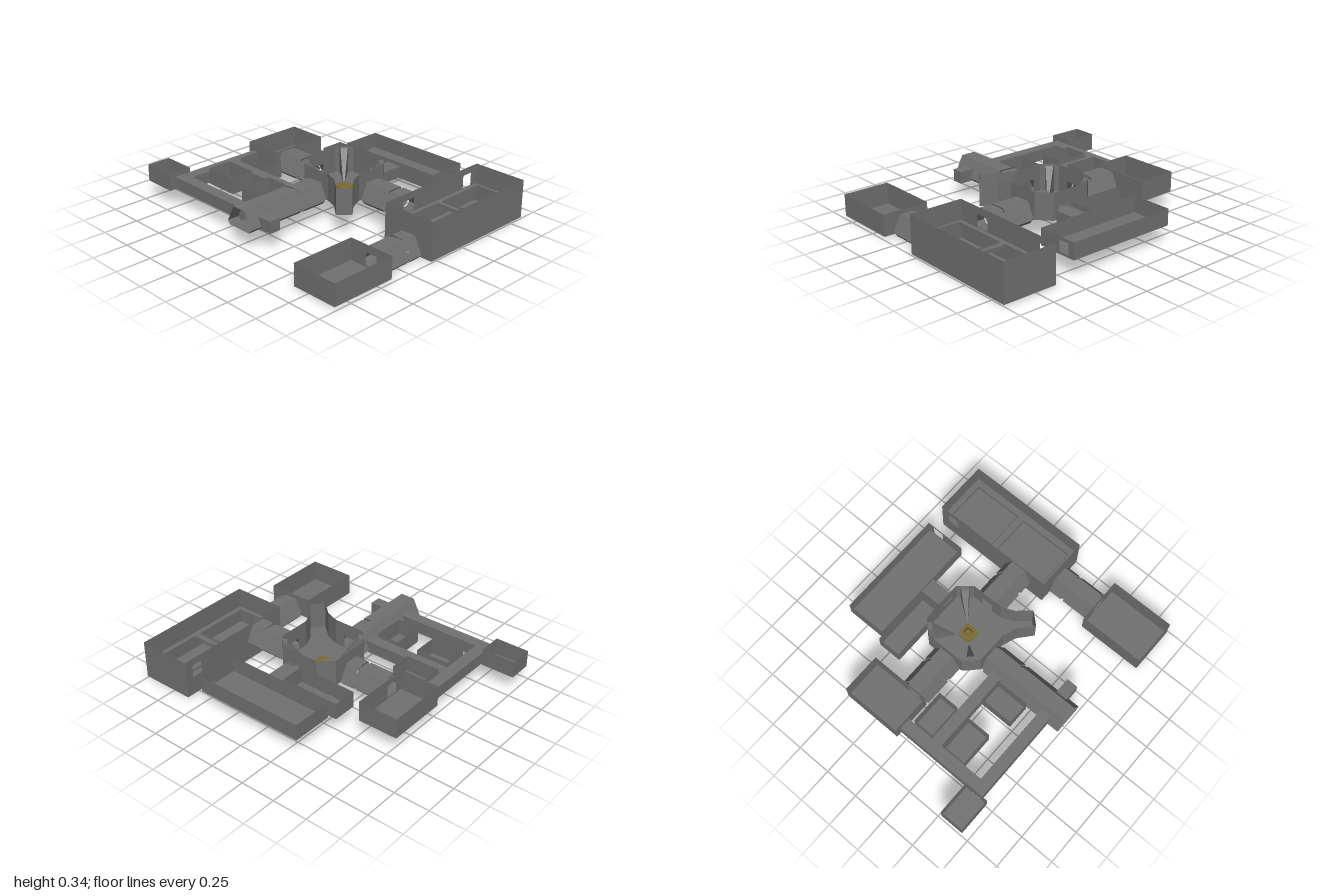
import * as THREE from 'three';

const grey = new THREE.MeshStandardMaterial({ color: 0x707070, flatShading: true, side: THREE.DoubleSide });
const amber = new THREE.MeshStandardMaterial({ color: 0x7a6a34, flatShading: true, side: THREE.DoubleSide });

function add(parent, name, geometry, material = grey) {
  const mesh = new THREE.Mesh(geometry, material);
  mesh.name = name;
  parent.add(mesh);
  return mesh;
}

const polygon = points => new THREE.Shape(points.map(p => new THREE.Vector2(...p)));
const rect = (x0, y0, x1, y1) => polygon([[x0, y0], [x1, y0], [x1, y1], [x0, y1]]);

// Upright panel from [x, z] p to q; each door is [along, bottom, width, height]
function wall(parent, name, p, q, y0, y1, doors = []) {
  const dx = q[0] - p[0], dz = q[1] - p[1];
  const shape = rect(0, 0, Math.hypot(dx, dz), y1 - y0);
  for (const [at, low, w, h] of doors) shape.holes.push(rect(at - w / 2, low, at + w / 2, low + h));
  const mesh = add(parent, name, new THREE.ShapeGeometry(shape));
  mesh.position.set(p[0], y0, p[1]);
  mesh.rotation.y = -Math.atan2(dz, dx);
}

// Level plate from a shape drawn in x, z
function plate(parent, name, shape, y) {
  const mesh = add(parent, name, new THREE.ShapeGeometry(shape).rotateX(Math.PI / 2));
  mesh.position.y = y;
}

// Open-topped room; doors are keyed by side: n (-z), s (+z), w (-x), e (+x)
function room(parent, name, x0, x1, z0, z1, y0, y1, doors = {}) {
  const g = new THREE.Group();
  g.name = name;
  parent.add(g);
  plate(g, 'floor', rect(x0, z0, x1, z1), y0);
  wall(g, 'wall', [x0, z0], [x1, z0], y0, y1, doors.n);
  wall(g, 'wall', [x0, z1], [x1, z1], y0, y1, doors.s);
  wall(g, 'wall', [x0, z0], [x0, z1], y0, y1, doors.w);
  wall(g, 'wall', [x1, z0], [x1, z1], y0, y1, doors.e);
  return g;
}

// Plain closed passage
function duct(parent, name, x0, x1, z0, z1, y0 = 0.13, y1 = 0.215) {
  const mesh = add(parent, name, new THREE.BoxGeometry(x1 - x0, y1 - y0, z1 - z0));
  mesh.position.set((x0 + x1) / 2, (y0 + y1) / 2, (z0 + z1) / 2);
}

// Six-sided open tube; sections are [start, end, scale], the narrow ones are joints
const PROFILE = [[-0.09, 0], [0.09, 0], [0.112, 0.024], [0.053, 0.14], [-0.053, 0.14], [-0.112, 0.024]];
function tube(parent, name, axis, centre, y0, sections) {
  const g = new THREE.Group();
  g.name = name;
  parent.add(g);
  for (const [a, b, s] of sections) {
    const pos = [];
    const point = (i, t) => {
      const [u, v] = PROFILE[i % 6];
      const c = centre + u * s, y = y0 + 0.07 + (v - 0.07) * s;
      return axis === 'x' ? [t, y, c] : [c, y, t];
    };
    for (let i = 0; i < 6; i++) {
      const A = point(i, a), B = point(i + 1, a), C = point(i + 1, b), D = point(i, b);
      // Keep the faces turned outward on either axis
      pos.push(...(axis === 'x' ? [A, C, B, A, D, C] : [A, B, C, A, C, D]).flat());
    }
    const geo = new THREE.BufferGeometry();
    geo.setAttribute('position', new THREE.Float32BufferAttribute(pos, 3));
    geo.computeVertexNormals();
    add(g, s < 1 ? 'tubeJoint' : 'tubeSection', geo);
  }
}

// Hangar with an upper gallery around two floor openings
function hangar(parent) {
  const g = room(parent, 'hangar', -0.05, 0.86, 0.61, 1, 0.01, 0.28, {
    n: [[0.22, 0.13, 0.1, 0.09], [0.81, 0.13, 0.08, 0.09]],
    w: [[0.2, 0.01, 0.09, 0.09]],
  });
  const deck = rect(-0.05, 0.61, 0.86, 1);
  for (const [x0, x1] of [[-0.003, 0.4], [0.453, 0.813]]) {
    const z0 = 0.66, z1 = 0.948;
    deck.holes.push(rect(x0, z0, x1, z1));
    const corners = [[x0, z0], [x1, z0], [x1, z1], [x0, z1]];
    corners.forEach((c, i) => wall(g, 'galleryEdge', c, corners[(i + 1) % 4], 0.125, 0.15));
  }
  plate(g, 'gallery', deck, 0.135);
}

// Octagonal hall with a spur on one diagonal, corner buttresses and a core
function hub(parent) {
  const g = new THREE.Group();
  g.name = 'centralHall';
  parent.add(g);
  const y0 = 0.15, y1 = 0.34;
  const outline = [[0, -0.18], [0.29, -0.18], [0.375, -0.09], [0.375, 0.2], [0.285, 0.28], [0.05, 0.28],
    [-0.04, 0.32], [-0.13, 0.4], [-0.21, 0.33], [-0.125, 0.23], [-0.09, 0.135], [-0.09, -0.09]];
  const doors = { 0: 0.13, 2: 0.2, 4: 0.115, 10: 0.12 };
  plate(g, 'hallFloor', polygon(outline), y0);
  outline.forEach((p, i) => {
    const q = outline[(i + 1) % outline.length];
    wall(g, 'hallWall', p, q, y0, y1, i in doors ? [[doors[i], 0.005, 0.09, 0.085]] : []);
  });
  // Pointed buttresses on the three closed diagonals, thinner toward the core
  const fin = polygon([[0.09, 0], [0.265, 0], [0.265, 0.188], [0.235, 0.188]]);
  for (const angle of [Math.PI / 4, Math.PI * 3 / 4, -Math.PI / 4]) {
    const geo = new THREE.ExtrudeGeometry(fin, { depth: 0.06, bevelEnabled: false }).translate(0, 0, -0.03);
    const p = geo.attributes.position;
    for (let i = 0; i < p.count; i++) p.setZ(i, p.getZ(i) * (p.getX(i) - 0.05) / 0.215);
    const mesh = add(g, 'buttress', geo);
    mesh.position.set(0.143, y0, 0.05);
    mesh.rotation.y = angle;
  }
  // Core: a slab with cut corners set through the floor, and a square post
  const h = 0.053, c = 0.035;
  const slab = polygon([[-c, -h], [c, -h], [h, -c], [h, c], [c, h], [-c, h], [-h, c], [-h, -c]]);
  const base = add(g, 'coreBase', new THREE.ExtrudeGeometry(slab, { depth: 0.025, bevelEnabled: false }).rotateX(-Math.PI / 2), amber);
  base.position.set(0.143, 0.138, 0.05);
  const post = add(g, 'corePost', new THREE.CylinderGeometry(0.02, 0.04, 0.025, 4).rotateY(Math.PI / 4), amber);
  post.position.set(0.143, 0.175, 0.05);
}

export function createModel() {
  const model = new THREE.Group();
  model.name = 'stationDeck';

  hangar(model);
  hub(model);

  // Open-topped rooms
  const B = 0.125;
  room(model, 'frontSideRoom', -0.86, -0.385, 0.64, 0.98, 0.01, 0.165, { e: [[0.17, 0.01, 0.09, 0.09]] });
  room(model, 'longEastRoom', 0.565, 0.86, -0.34, 0.47, B, 0.24, {
    w: [[0.46, 0.01, 0.09, 0.075]], s: [[0.21, 0.015, 0.08, 0.08]],
  });
  room(model, 'smallEastRoom', 0.375, 0.545, -0.39, 0.04, B, 0.24);
  room(model, 'rearRoom', 0.03, 0.465, -0.795, -0.508, B, 0.27, {
    s: [[0.1, 0.01, 0.09, 0.09]], w: [[0.085, 0.01, 0.07, 0.075]],
  });
  room(model, 'cornerRoom', -0.708, -0.535, -1, -0.757, B, 0.245, { s: [[0.083, 0.01, 0.07, 0.075]] });
  room(model, 'cabin', -0.44, -0.263, -0.665, -0.42, B, 0.24);
  room(model, 'cabin', -0.165, -0.01, -0.66, -0.412, B, 0.24);
  room(model, 'cabin', -0.49, -0.25, -0.265, -0.1, B, 0.24);

  // Plain passages
  duct(model, 'westPassage', -0.665, -0.583, -0.67, -0.055);
  duct(model, 'innerPassage', -0.25, -0.17, -0.67, -0.055);
  duct(model, 'rearPassage', -0.665, 0.03, -0.755, -0.67);
  duct(model, 'eastPassage', 0.375, 0.565, 0.06, 0.175);
  duct(model, 'passageStub', -0.665, -0.583, 0.09, 0.212);

  // Six-sided corridors
  const J = 0.9;
  tube(model, 'westCorridor', 'x', 0.018, 0.126,
    [[-0.75, -0.32, 1], [-0.32, -0.295, J], [-0.295, -0.11, 1], [-0.11, -0.09, J]]);
  tube(model, 'rearCorridor', 'z', 0.132, 0.126,
    [[-0.508, -0.49, J], [-0.49, -0.3, 1], [-0.3, -0.275, J], [-0.275, -0.18, 1]]);
  tube(model, 'frontCorridor', 'z', 0.173, 0.126,
    [[0.28, 0.3, J], [0.3, 0.487, 1], [0.487, 0.512, J], [0.512, 0.61, 1]]);
  tube(model, 'lowerCorridor', 'x', 0.808, 0,
    [[-0.385, -0.36, J], [-0.36, -0.17, 1], [-0.17, -0.145, J], [-0.145, -0.05, 1]]);

  return model;
}
